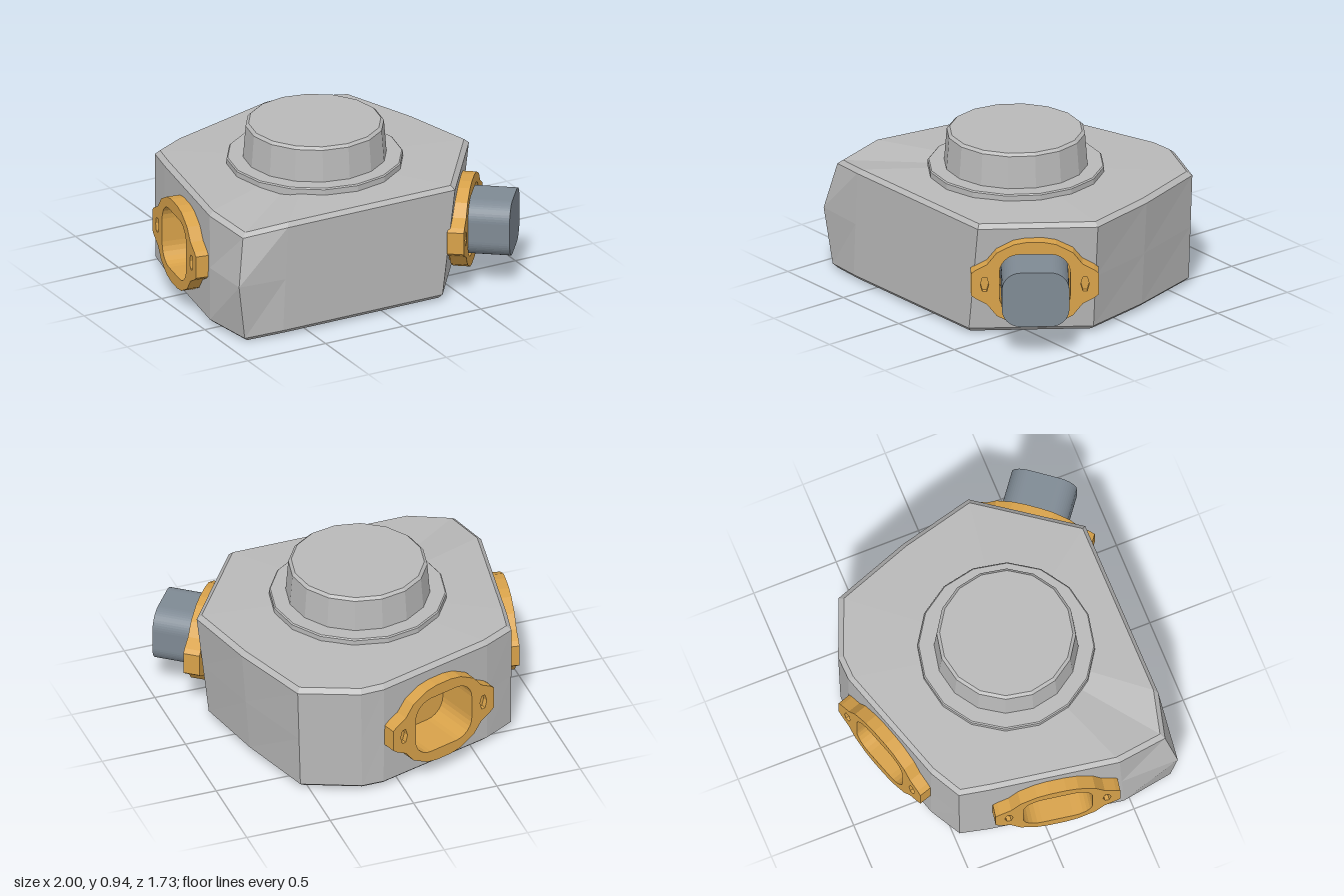
import * as THREE from 'three';

const mat = (name, color, extra = {}) => new THREE.MeshStandardMaterial({ name, color, ...extra });

// Rounded rectangle, used for the port bores and the plug
function roundRect(hw, hh, r, PathType = THREE.Shape) {
  const p = new PathType();
  p.moveTo(hw, -hh + r);
  p.lineTo(hw, hh - r);
  p.absarc(hw - r, hh - r, r, 0, Math.PI / 2);
  p.lineTo(-hw + r, hh);
  p.absarc(-hw + r, hh - r, r, Math.PI / 2, Math.PI);
  p.lineTo(-hw, -hh + r);
  p.absarc(-hw + r, -hh + r, r, Math.PI, Math.PI * 1.5);
  p.lineTo(hw - r, -hh);
  p.absarc(hw - r, -hh + r, r, Math.PI * 1.5, Math.PI * 2);
  return p;
}

// Two-eared flange outline mirrored from one quarter
function flangeShape(slots) {
  const q = [[0.36, 0.065], [0.335, 0.085], [0.27, 0.12], [0.215, 0.19], [0.12, 0.24], [0.05, 0.253]];
  const half = [...q, ...q.map(([x, y]) => [-x, y]).reverse()];
  const pts = [...half, ...half.map(([x, y]) => [-x, -y])];
  const s = new THREE.Shape(pts.map(([x, y]) => new THREE.Vector2(x, y)));
  s.holes.push(roundRect(0.2, 0.18, 0.11, THREE.Path));
  if (slots) for (const side of [-1, 1]) {
    s.holes.push(new THREE.Path().absellipse(side * 0.283, 0, 0.024, 0.05, 0, Math.PI * 2));
  }
  return s;
}

const extrude = (shape, from, to, segs = 3) =>
  new THREE.ExtrudeGeometry(shape, { depth: to - from, bevelEnabled: false, curveSegments: segs }).translate(0, 0, from);

export function createModel() {
  const model = new THREE.Group();
  model.name = 'housing';
  const grey = mat('grey metal', 0xb9b9b9, { flatShading: true });
  const brass = mat('brass', 0xd8a24a, { flatShading: true });
  const steel = mat('blue grey steel', 0x7f8a94);
  const add = (parent, name, geo, m) => {
    const mesh = new THREE.Mesh(geo, m);
    mesh.name = name;
    parent.add(mesh);
    return mesh;
  };

  // Body outline: top x, z, then bottom x, z; "port" marks a wall with a bore
  const outline = [
    { t: [-0.885, 0.735], b: [-0.89, 0.765], m: [-0.94, 0.79], yt: 0.63, yb: 0.028 },
    { t: [-0.63, 0.797], b: [-0.66, 0.797] },
    { t: [0.45, 0.79], b: [0.37, 0.79], port: true },
    { t: [0.845, 0.24], b: [0.78, 0.22] },
    { t: [0.735, -0.2], b: [0.69, -0.2] },
    { t: [0.57, -0.66], b: [0.55, -0.65] },
    { t: [0.24, -0.795], b: [0.23, -0.785] },
    { t: [0.1, -0.79], b: [0.1, -0.785], port: true },
    { t: [-0.6, -0.57], b: [-0.6, -0.57] },
    { t: [-0.78, -0.475], b: [-0.78, -0.47] },
    { t: [-0.815, -0.3], b: [-0.82, -0.3], port: true },
    { t: [-0.935, 0.44], b: [-0.945, 0.46] },
  ];
  const cx = -0.07, cz = 0.1;
  const inset = (v, dy) => new THREE.Vector3(cx + (v.x - cx) * 0.968, v.y + dy, cz + (v.z - cz) * 0.968);
  const rings = outline.map(({ t, b, m, yt = 0.665, yb = 0.04 }) => {
    const top = new THREE.Vector3(t[0], yt, t[1]);
    const bot = new THREE.Vector3(b[0], yb, b[1]);
    const mid = m ? new THREE.Vector3(m[0], 0.36, m[1]) : bot.clone().lerp(top, 0.5);
    return [inset(bot, -0.024), bot, mid, top, inset(top, 0.024)];
  });

  // Shell: walls, bevels, crowned top and flat base
  const pos = [];
  const tri = (...vs) => vs.forEach((v) => pos.push(v.x, v.y, v.z));
  const topCentre = new THREE.Vector3(cx, 0.715, cz), baseCentre = new THREE.Vector3(cx, 0.012, cz);
  outline.forEach((o, i) => {
    const A = rings[i], B = rings[(i + 1) % rings.length];
    for (let k = 0; k < 4; k++) {
      if (o.port && (k === 1 || k === 2)) continue;
      tri(A[k], B[k], B[k + 1]);
      tri(A[k], B[k + 1], A[k + 1]);
    }
    tri(topCentre, A[4], B[4]);
    tri(baseCentre, B[0], A[0]);
    if (!o.port) return;
    // Wall with a bore, bent onto its four corners
    const len = A[3].distanceTo(B[3]), y0 = A[1].y, y1 = A[3].y;
    const s = new THREE.Shape([[-len / 2, y0], [len / 2, y0], [len / 2, y1], [-len / 2, y1]]
      .map(([x, y]) => new THREE.Vector2(x, y)));
    const bore = roundRect(0.21, 0.19, 0.12, THREE.Path).getPoints(3);
    s.holes.push(new THREE.Path(bore.map((p) => new THREE.Vector2(p.x, p.y + 0.353))));
    const g = new THREE.ShapeGeometry(s, 3), p = g.attributes.position;
    for (let j = 0; j < p.count; j++) {
      const u = p.getX(j) / len + 0.5, v = (p.getY(j) - y0) / (y1 - y0);
      const q = A[1].clone().lerp(B[1], u).lerp(A[3].clone().lerp(B[3], u), v);
      p.setXYZ(j, q.x, q.y, q.z);
    }
    g.computeVertexNormals();
    add(model, 'boredWall', g, grey);
  });
  const shell = new THREE.BufferGeometry();
  shell.setAttribute('position', new THREE.Float32BufferAttribute(pos, 3));
  shell.computeVertexNormals();
  add(model, 'bodyShell', shell, grey);

  // Round collar and tapered cap
  const turned = (name, profile) => {
    const g = new THREE.LatheGeometry(profile.map(([r, y]) => new THREE.Vector2(r, y)), 16);
    add(model, name, g, grey).position.set(cx, 0, cz);
  };
  turned('collar', [[0.5, 0.67], [0.5, 0.73], [0.493, 0.737], [0, 0.737]]);
  turned('cap', [[0.408, 0.72], [0.392, 0.925], [0.375, 0.94], [0, 0.94]]);

  // Ports: centre x, z and outward direction
  const ports = [
    { name: 'sidePort', c: [-0.878, 0.07], n: [-0.987, -0.16] },
    { name: 'rearPort', c: [-0.25, -0.68], n: [-0.305, -0.952] },
    { name: 'cornerPort', c: [0.63, 0.525], n: [0.793, 0.609], plug: true },
  ];
  for (const { name, c, n, plug } of ports) {
    const port = new THREE.Group();
    port.name = name;
    port.position.set(c[0], 0.353, c[1]);
    port.rotation.y = Math.atan2(n[0], n[1]);
    model.add(port);
    add(port, 'flangeFace', extrude(flangeShape(true), 0.045, 0.075), brass);
    add(port, 'flangeBack', extrude(flangeShape(false), -0.02, 0.045), brass);
    // Bore lining and its floor
    const lining = roundRect(0.225, 0.205, 0.13);
    lining.holes.push(roundRect(0.2, 0.18, 0.11, THREE.Path));
    add(port, 'boreLining', extrude(lining, -0.2, 0), brass);
    add(port, 'boreFloor', new THREE.ShapeGeometry(roundRect(0.22, 0.2, 0.12), 3).translate(0, 0, -0.19), brass);
    if (plug) add(port, 'plug', extrude(roundRect(0.19, 0.163, 0.105), -0.18, 0.31, 6), steel);
  }
  return model;
}
